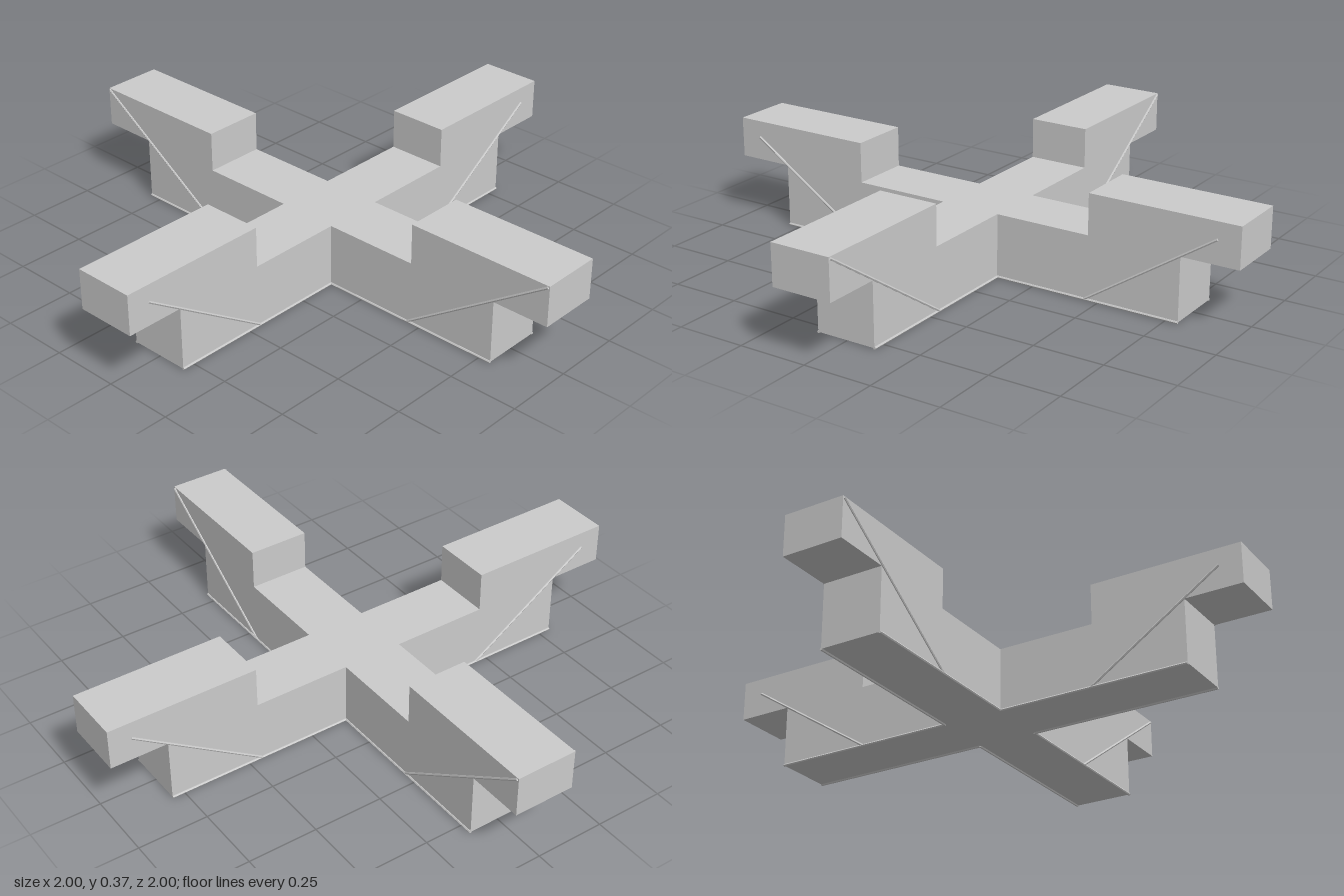
import * as THREE from 'three';

const HALF = 0.11;   // half width of a beam
const BASE = 0.005;  // underside of the beams
const MID = 0.23;    // top of the lower beams
const TOP = 0.375;   // top of the raised ends
const ROD = 0.005;   // radius of the thin rods

const material = new THREE.MeshStandardMaterial({ color: 0xcccccc, flatShading: true });

function addMesh(parent, geometry, name) {
  const mesh = new THREE.Mesh(geometry, material);
  mesh.name = name;
  parent.add(mesh);
  return mesh;
}

// Thin square rod between two points
function addRod(parent, a, b, name) {
  const rod = addMesh(parent, new THREE.CylinderGeometry(ROD, ROD, a.distanceTo(b), 6), name);
  rod.position.copy(a).lerp(b, 0.5);
  rod.quaternion.setFromUnitVectors(new THREE.Vector3(0, 1, 0), b.clone().sub(a).normalize());
}

// One arm along +x: stepped side profile, diagonal braces and bottom edge rods
function createArm(braceEnd, braceHeight) {
  const arm = new THREE.Group();
  const profile = new THREE.Shape([
    [HALF, BASE], [0.795, BASE], [0.795, MID], [1, MID],
    [1, TOP], [0.46, TOP], [0.46, MID], [HALF, MID],
  ].map(([x, y]) => new THREE.Vector2(x, y)));
  const body = new THREE.ExtrudeGeometry(profile, { depth: 2 * HALF, bevelEnabled: false });
  body.translate(0, 0, -HALF);
  addMesh(arm, body, 'armBeam');

  for (const side of [-1, 1]) {
    const z = side * HALF;
    addRod(arm, new THREE.Vector3(0.45, ROD, z),
      new THREE.Vector3(braceEnd, braceHeight, z), 'diagonalBrace');
    addRod(arm, new THREE.Vector3(HALF, ROD, z),
      new THREE.Vector3(0.795, ROD, z), 'bottomEdgeRod');
  }
  return arm;
}

export function createModel() {
  const model = new THREE.Group();
  model.name = 'crossStand';

  // Centre where the beams cross
  const core = addMesh(model, new THREE.BoxGeometry(2 * HALF, MID - BASE, 2 * HALF), 'centre');
  core.position.y = (MID + BASE) / 2;

  // Four arms; braces on the front and back arms end a little lower
  ['leftArm', 'backArm', 'rightArm', 'frontArm'].forEach((name, i) => {
    const arm = i % 2 ? createArm(0.92, 0.315) : createArm(0.995, 0.37);
    arm.name = name;
    arm.rotation.y = i * Math.PI / 2;
    model.add(arm);
  });
  return model;
}
